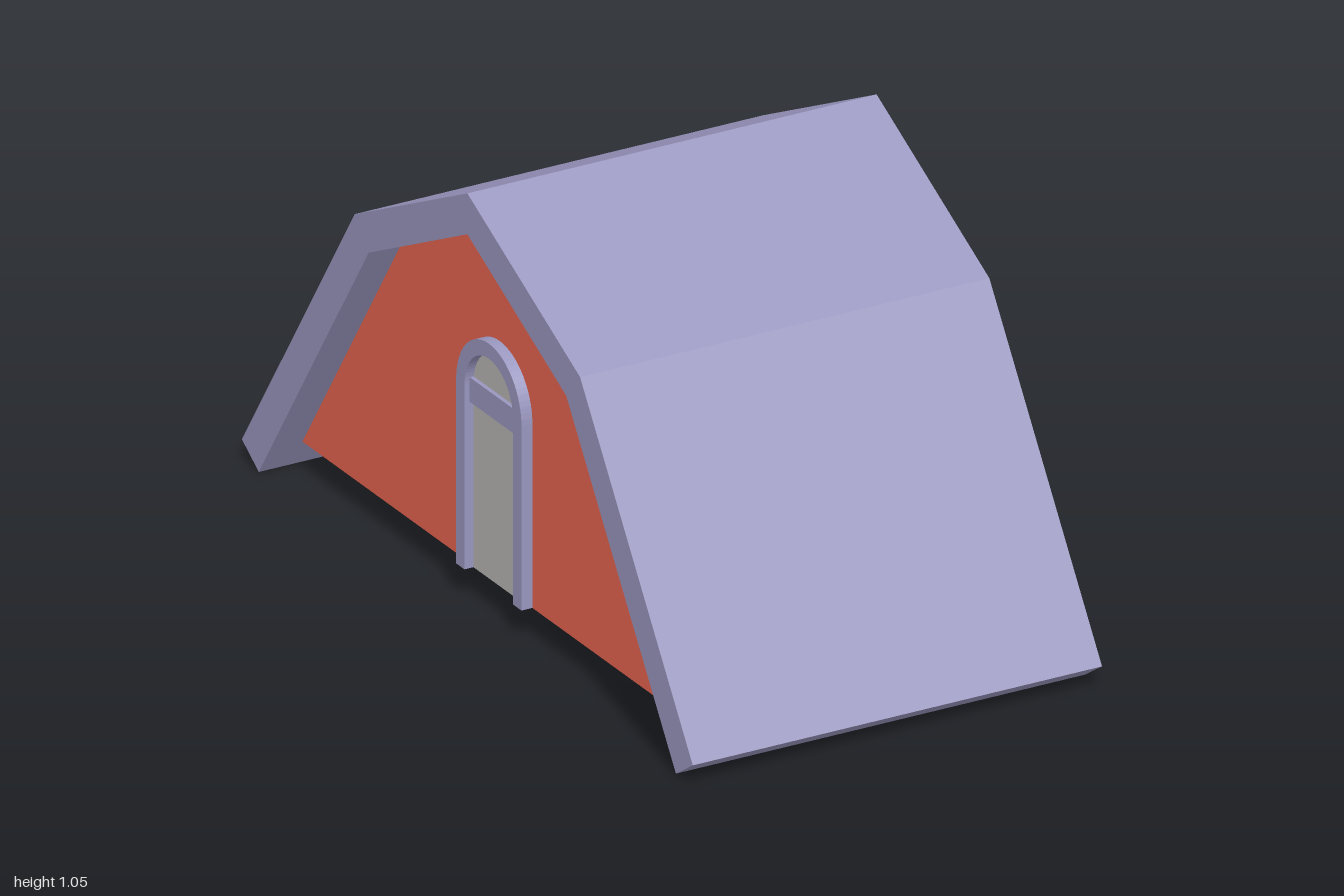
import * as THREE from 'three';

const purple = new THREE.MeshStandardMaterial({ color: 0x9a97c0, flatShading: true });
const red = new THREE.MeshStandardMaterial({ color: 0xe8654f, flatShading: true });
const grey = new THREE.MeshStandardMaterial({ color: 0xb8b6b4, flatShading: true });
const doorPurple = new THREE.MeshStandardMaterial({ color: 0x9a97c0 });

// Extrudes a (z, y) shape along -x, starting at the given x
function slab(name, shape, startX, depth, material) {
  const geometry = new THREE.ExtrudeGeometry(shape, { depth, bevelEnabled: false, curveSegments: 16 });
  geometry.rotateY(-Math.PI / 2).translate(startX, 0, 0);
  const mesh = new THREE.Mesh(geometry, material);
  mesh.name = name;
  return mesh;
}

// Mirrors a half profile, running from eave to ridge, across z = 0
function mirrored(half) {
  const other = half.slice(0, -1).reverse().map(([z, y]) => [-z, y]);
  return [...half, ...other].map(([z, y]) => new THREE.Vector2(z, y));
}

// Round-topped outline
function arch(radius, bottom, spring) {
  const shape = new THREE.Shape();
  shape.moveTo(-radius, bottom);
  shape.lineTo(radius, bottom);
  shape.lineTo(radius, spring);
  shape.absarc(0, spring, radius, 0, Math.PI, false);
  shape.closePath();
  return shape;
}

export function createModel() {
  const group = new THREE.Group();

  // Gambrel roof shell, overhanging both gable walls
  const outer = mirrored([[1, 0.05], [0.5, 0.8], [0, 1.05]]);
  const inner = mirrored([[0.925, 0], [0.4385, 0.73], [0, 0.95]]);
  group.add(slab('roof', new THREE.Shape([...outer, ...inner.reverse()]), 0.525, 1.05, purple));

  // Solid body filling the space under the roof
  const body = mirrored([[0.875, 0.075], [0.4385, 0.73], [0, 0.95]]);
  group.add(slab('body', new THREE.Shape(body), 0.442, 0.884, red));

  // Arched door on the -x gable
  const door = new THREE.Group();
  door.name = 'door';
  const bottom = 0.075, spring = 0.525, radius = 0.145, rim = 0.037;
  const r = radius - rim;
  const frame = new THREE.Shape();
  frame.moveTo(radius, bottom);
  frame.lineTo(radius, spring);
  frame.absarc(0, spring, radius, 0, Math.PI, false);
  frame.lineTo(-radius, bottom);
  frame.lineTo(-r, bottom);
  frame.lineTo(-r, spring);
  frame.absarc(0, spring, r, Math.PI, 0, true);
  frame.lineTo(r, bottom);
  frame.closePath();
  door.add(slab('doorFrame', frame, -0.435, 0.035, doorPurple));
  door.add(slab('doorPanel', arch(r, bottom, spring), -0.435, 0.012, grey));

  // Crossbar under the rounded pane
  const bar = new THREE.Mesh(new THREE.BoxGeometry(0.02, 0.06, 2 * r), purple);
  bar.name = 'doorCrossbar';
  bar.position.set(-0.447, 0.512, 0);
  door.add(bar);
  group.add(door);

  return group;
}
